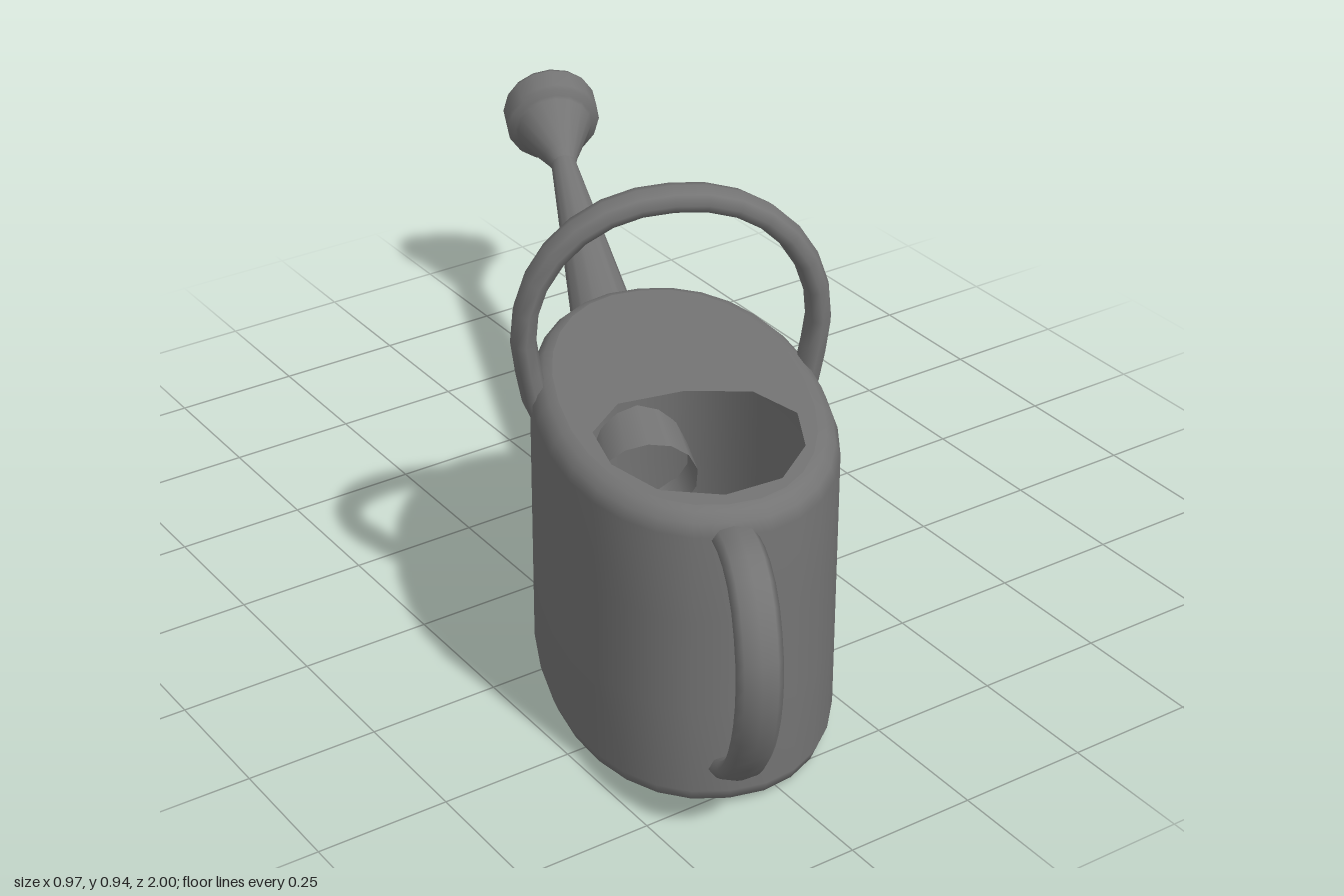
import * as THREE from 'three';
import { mergeVertices } from 'three/addons/utils/BufferGeometryUtils.js';

const material = new THREE.MeshStandardMaterial({ color: 0x747474, side: THREE.DoubleSide });
const HALF_W = 0.26, HALF_L = 0.431, HEIGHT = 0.585, SEGMENTS = 28;

// Point on the oval plan of the can, drawn in by an inset
function oval(angle, inset) {
  const bend = (t) => Math.sign(t) * Math.abs(t) ** (2 / 2.2);
  return new THREE.Vector2(bend(Math.sin(angle)) * (HALF_W - inset), bend(Math.cos(angle)) * (HALF_L - inset));
}

function ovalShape(inset) {
  const points = [];
  for (let i = 0; i < SEGMENTS; i++) points.push(oval((-i / SEGMENTS) * Math.PI * 2, inset));
  return new THREE.Shape(points);
}

function add(group, name, geometry) {
  const mesh = new THREE.Mesh(geometry, material);
  mesh.name = name;
  group.add(mesh);
  return mesh;
}

function lathe(profile, segments) {
  return new THREE.LatheGeometry(profile.map(([r, y]) => new THREE.Vector2(r, y)), segments);
}

// Side wall with rounded edges: a lathe whose rings are reshaped to ovals
function wallGeometry() {
  const profile = [[0.04, 0], [0.025, 0.003], [0.008, 0.014], [0, 0.035], [0, 0.2], [0, 0.38],
    [0, 0.545], [0.009, 0.567], [0.024, 0.581], [0.04, HEIGHT]];
  const geometry = lathe(profile.map(([inset, y]) => [1 - inset, y]), SEGMENTS);
  const p = geometry.attributes.position;
  for (let i = 0; i < p.count; i++) {
    const x = p.getX(i), z = p.getZ(i);
    const q = oval(Math.atan2(x, z), 1 - Math.hypot(x, z));
    p.setXYZ(i, q.x, p.getY(i), q.y);
  }
  geometry.deleteAttribute('uv');
  geometry.deleteAttribute('normal');
  const merged = mergeVertices(geometry, 1e-4);
  merged.computeVertexNormals();
  return merged;
}

// Tube whose two end rings are drawn in, so the tips sink into the wall
function taperedTube(points, radius, segments) {
  const sides = 8;
  const curve = new THREE.CatmullRomCurve3(points);
  const geometry = new THREE.TubeGeometry(curve, segments, radius, sides, false);
  const p = geometry.attributes.position;
  const v = new THREE.Vector3();
  for (const ring of [0, segments]) {
    const centre = curve.getPointAt(ring / segments);
    for (let k = 0; k <= sides; k++) {
      const i = ring * (sides + 1) + k;
      v.fromBufferAttribute(p, i).lerp(centre, 0.6);
      p.setXYZ(i, v.x, v.y, v.z);
    }
  }
  return geometry;
}

export function createModel() {
  const model = new THREE.Group();
  model.name = 'wateringCan';
  const can = new THREE.Group();
  can.name = 'can';
  can.position.set(-0.182, 0, 0.39);
  can.rotation.y = -0.405;
  model.add(can);

  // Hollow body
  add(can, 'bodyWall', wallGeometry());
  add(can, 'base', new THREE.ShapeGeometry(ovalShape(0.04)).rotateX(Math.PI / 2));

  // Lid with the filling hole towards the rear
  const half = [[0.12, -0.025], [0.18, -0.115], [0.168, -0.227], [0.105, -0.325]];
  const hole = [[0, -0.002], ...half, [0, -0.36], ...half.map(([x, y]) => [-x, y]).reverse()];
  const lid = ovalShape(0.04);
  lid.holes.push(new THREE.Path(hole.map(([x, y]) => new THREE.Vector2(x, y))));
  add(can, 'lid', new THREE.ShapeGeometry(lid).rotateX(-Math.PI / 2)).position.y = HEIGHT;

  // Flat-section arch over the top, bowed out above the rim
  const leg = [[0.238, 0.485], [0.25, 0.56], [0.266, 0.66], [0.252, 0.75], [0.205, 0.83], [0.14, 0.882], [0.06, 0.91]];
  const arch = [...leg, ...leg.map(([x, y]) => [-x, y]).reverse()];
  const archMesh = add(can, 'topHandle', taperedTube(arch.map(([x, y]) => new THREE.Vector3(x, y, 0)), 0.0235, 20));
  archMesh.scale.z = 1.6;
  archMesh.position.z = -0.097;

  // Flat-section rear grip
  const grip = [[0.4, 0.54], [0.45, 0.551], [0.515, 0.553], [0.585, 0.52], [0.631, 0.43], [0.628, 0.33],
    [0.58, 0.22], [0.505, 0.135], [0.43, 0.085], [0.4, 0.068]];
  add(can, 'rearHandle', taperedTube(grip.map(([z, y]) => new THREE.Vector3(0, y, z)), 0.021, 18)).scale.x = 1.9;

  // Tapered spout
  const start = new THREE.Vector3(0, 0.198, -0.34), tip = new THREE.Vector3(0, 0.442, -1.28);
  const up = new THREE.Vector3(0, 1, 0);
  const along = tip.clone().sub(start);
  const spout = add(can, 'spout', new THREE.CylinderGeometry(0.026, 0.102, along.length(), 14, 1, true));
  spout.position.copy(start).add(tip).multiplyScalar(0.5);
  spout.quaternion.setFromUnitVectors(up, along.normalize());

  // Sprinkler head: a cone that steps out to a hollow lip
  const headProfile = [[0.026, -0.01], [0.036, 0.02], [0.08, 0.116], [0.084, 0.123], [0.097, 0.128], [0.101, 0.138],
    [0.101, 0.186], [0.097, 0.196], [0.087, 0.196], [0.083, 0.184], [0.076, 0.135], [0.03, 0.08], [0.02, 0.02]];
  const head = add(can, 'sprinklerHead', lathe(headProfile, 16));
  head.position.copy(tip);
  head.quaternion.setFromUnitVectors(up, new THREE.Vector3(0, 0.28, -1).normalize());

  return model;
}
